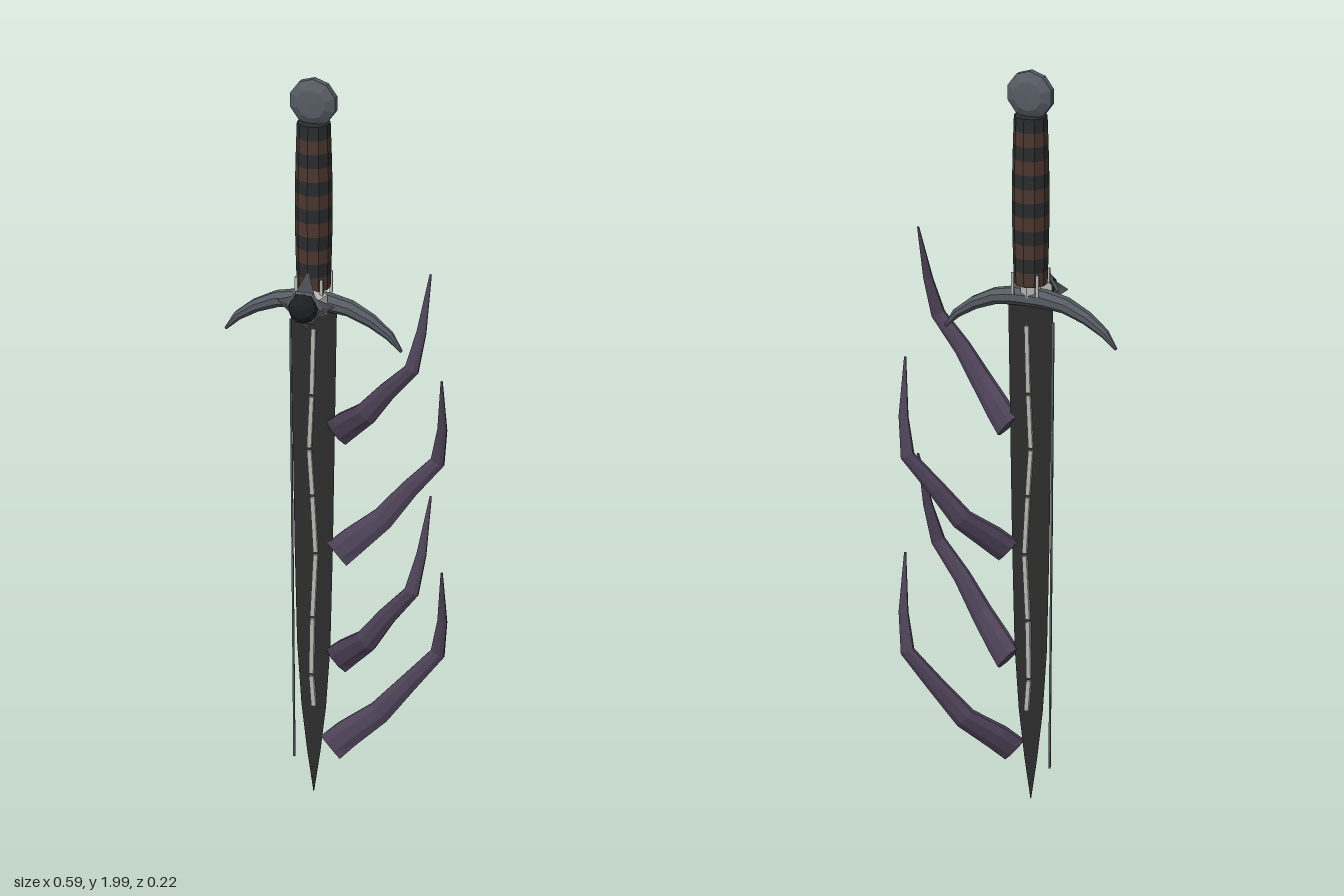
import * as THREE from 'three';

const mat = (name, color, extra = {}) => {
  const m = new THREE.MeshStandardMaterial({ color, flatShading: true, ...extra });
  m.name = name;
  return m;
};
const V = (x, y, z) => new THREE.Vector3(x, y, z);
const CX = -0.052; // axis of the dagger

// Skin a list of equal-length rings, closed with a fan at both ends.
function loft(rings) {
  const pos = [], n = rings[0].length;
  const tri = (...p) => p.forEach(q => pos.push(q.x, q.y, q.z));
  const mid = r => r.reduce((s, p) => s.add(p), V(0, 0, 0)).divideScalar(n);
  const first = rings[0], last = rings[rings.length - 1], a = mid(first), b = mid(last);
  for (let k = 0; k < n; k++) {
    const j = (k + 1) % n;
    for (let i = 0; i < rings.length - 1; i++) {
      const p = rings[i], q = rings[i + 1];
      tri(p[k], p[j], q[j]);
      tri(p[k], q[j], q[k]);
    }
    tri(a, first[j], first[k]);
    tri(b, last[k], last[j]);
  }
  const g = new THREE.BufferGeometry();
  g.setAttribute('position', new THREE.Float32BufferAttribute(pos, 3));
  g.computeVertexNormals();
  return g;
}

// Tapered limb: each row is x, y, z, half depth, half height.
function limb(rows, sides) {
  const pts = rows.map(r => V(r[0], r[1], r[2]));
  return loft(rows.map((r, i) => {
    const t = pts[Math.min(i + 1, pts.length - 1)].clone().sub(pts[Math.max(i - 1, 0)]).normalize();
    const u = V(0, 0, 1).addScaledVector(t, -t.z).normalize();
    const v = t.clone().cross(u);
    return Array.from({ length: sides }, (_, k) => {
      const a = (k + 0.5) / sides * Math.PI * 2;
      return pts[i].clone().addScaledVector(u, Math.cos(a) * r[3]).addScaledVector(v, Math.sin(a) * r[4]);
    });
  }));
}

export function createModel() {
  const group = new THREE.Group();
  const steel = mat('grey steel', 0x565b63);
  const starSteel = mat('ornament steel', 0x484a4e, { side: THREE.DoubleSide });
  const dark = mat('dark blade', 0x2d2d2d);
  const pale = mat('pale inlay', 0xb4b4b0);
  const wrap = mat('black wrap', 0x2a2b2d);
  const leather = mat('brown leather', 0x4c362f);
  const horn = mat('purple horn', 0x4d4257);
  const black = mat('black gem', 0x1e1f21);
  const add = (name, geo, m, x = 0, y = 0, z = 0) => {
    const mesh = new THREE.Mesh(geo, m);
    mesh.name = name;
    mesh.position.set(x, y, z);
    group.add(mesh);
    return mesh;
  };

  // Blade: hexagonal section, each row is y, half width, half thickness
  const blade = [[0.01, 0.001, 0.001], [0.12, 0.018, 0.002], [0.25, 0.034, 0.005], [0.42, 0.046, 0.008],
    [0.7, 0.053, 0.010], [1.0, 0.058, 0.011], [1.36, 0.064, 0.012]];
  add('blade', loft(blade.map(([y, w, d]) =>
    [[1, 0], [0.3, -1], [-0.3, -1], [-1, 0], [-0.3, 1], [0.3, 1]]
      .map(([sx, sz]) => V(CX + sx * w, y, -sz * d)).reverse())), dark);

  // Wandering pale inlay on both faces
  const vein = [[0.25, -0.046], [0.34, -0.053], [0.5, -0.05], [0.68, -0.041], [0.84, -0.05],
    [0.97, -0.059], [1.12, -0.052], [1.31, -0.047]];
  for (const side of [1, -1]) for (let i = 0; i < vein.length - 1; i++) {
    const [y0, x0] = vein[i], [y1, x1] = vein[i + 1];
    const strip = add('inlay', new THREE.BoxGeometry(0.012, Math.hypot(y1 - y0, x1 - x0) - 0.008, 0.009),
      pale, (x0 + x1) / 2, (y0 + y1) / 2, side * 0.0135);
    strip.rotation.z = -Math.atan2(x1 - x0, y1 - y0);
  }

  // Thin wire running beside the blade edge
  const wire = add('edgeWire', new THREE.BoxGeometry(0.005, 1.22, 0.004), steel, -0.111, 0.71, 0);
  wire.rotation.z = 0.009;

  // Curved crossguard
  const half = [[0.243, 1.27, 0.005, 0.004], [0.21, 1.31, 0.012, 0.013], [0.16, 1.345, 0.019, 0.018],
    [0.1, 1.372, 0.025, 0.022], [0.04, 1.382, 0.029, 0.025]];
  const row = s => ([x, y, d, h]) => [CX + s * x, y, 0, d, h];
  add('crossguard', limb([...half.map(row(-1)), ...half.map(row(1)).reverse()], 8), steel);

  // Collar with pale prongs around the foot of the grip
  add('collar', new THREE.CylinderGeometry(0.028, 0.028, 0.05, 8), pale, CX, 1.41, 0);
  for (const sx of [-1, 1]) for (const sz of [-1, 1])
    add('prong', new THREE.BoxGeometry(0.008, 0.06, 0.006), pale, CX + sx * 0.035, 1.425, sz * 0.036);

  // Banded grip
  const bands = 12, h = 0.46 / bands;
  const radius = t => 0.044 + 0.005 * Math.sin(t * Math.PI);
  for (let i = 0; i < bands; i++) {
    const g = new THREE.CylinderGeometry(radius((i + 1) / bands), radius(i / bands), h, 10);
    add('gripBand', g, i % 2 ? wrap : leather, CX, 1.42 + (i + 0.5) * h, 0);
  }

  // Disc pommel with bevelled faces
  const rim = [[0, -0.025], [0.04, -0.023], [0.065, -0.009], [0.065, 0.009], [0.04, 0.023], [0, 0.025]];
  const pommel = new THREE.LatheGeometry(rim.map(p => new THREE.Vector2(...p)), 10);
  add('pommel', pommel.rotateX(Math.PI / 2), steel, CX, 1.936, 0);

  // Gem ornament: pale mount, four-pointed star, frame and gem
  const mount = new THREE.CylinderGeometry(0.035, 0.055, 0.035, 6).rotateX(Math.PI / 2);
  add('gemMount', mount, pale, CX, 1.385, 0.045);
  const tips = [[0.08, 0.01, 0.06], [0.03, 0.03, 0.068], [0, 0.095, 0.042], [-0.03, 0.03, 0.068],
    [-0.08, 0.01, 0.06], [-0.03, -0.03, 0.068], [0, -0.065, 0.055], [0.03, -0.03, 0.068]];
  const star = [];
  tips.forEach((p, i) => star.push(0, 0, 0.084, ...p, ...tips[(i + 1) % tips.length]));
  const starGeo = new THREE.BufferGeometry();
  starGeo.setAttribute('position', new THREE.Float32BufferAttribute(star, 3));
  starGeo.computeVertexNormals();
  add('gemStar', starGeo, starSteel, CX, 1.385, 0);
  add('gemFrame', new THREE.TorusGeometry(0.044, 0.007, 4, 6), steel, CX, 1.385, 0.07);
  add('gem', new THREE.IcosahedronGeometry(0.04, 1).scale(1, 1, 0.75), black, CX, 1.387, 0.08);

  // Four hooked horns, alternating front and back: base y, elbow y, side, base shift
  for (const [y, e, s, dx] of [[1.02, 1.265, 1, 0], [0.68, 0.935, -1, 0], [0.385, 0.645, 1, 0], [0.138, 0.4, -1, -0.018]]) {
    add('horn', limb([
      [0.012 + dx, y, 0, 0.012, 0.042],
      [0.05 + dx, y + 0.035, s * 0.022, 0.017, 0.040],
      [0.115 + dx * 0.5, y + 0.09, s * 0.063, 0.016, 0.033],
      [0.18, (y + 0.09 + e) / 2, s * 0.083, 0.013, 0.026],
      [0.255, e, s * 0.097, 0.011, 0.021],
      [0.275, e + 0.1, s * 0.078, 0.007, 0.014],
      [0.287, e + 0.25, s * 0.041, 0.002, 0.003],
    ], 8), horn);
  }
  return group;
}
